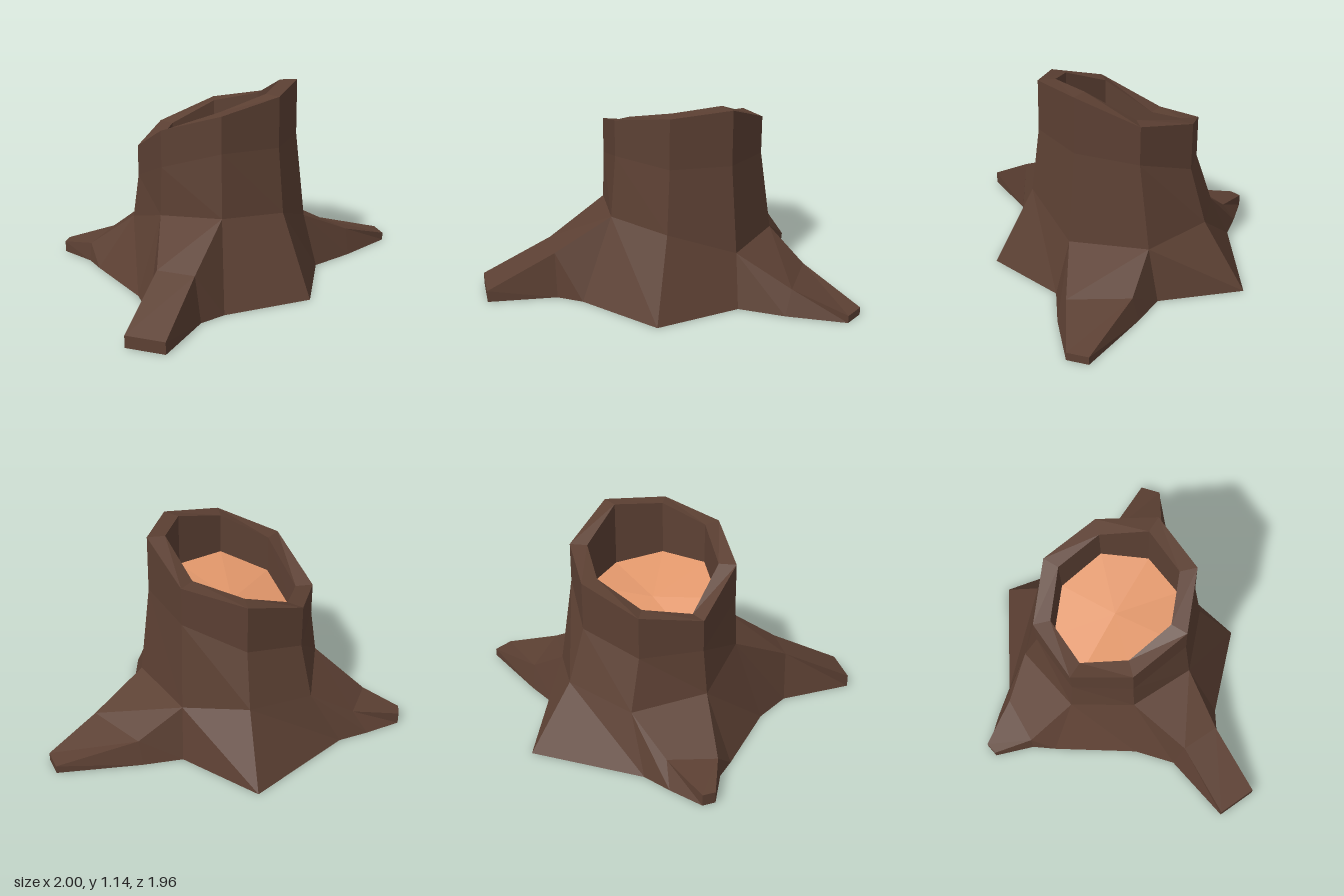
import * as THREE from 'three';

const brown = new THREE.MeshStandardMaterial({ color: 0x5c4033, flatShading: true });
brown.name = 'bark brown';
const orange = new THREE.MeshStandardMaterial({ color: 0xe0966a, flatShading: true });
orange.name = 'heartwood orange';

const CX = -0.07, CZ = -0.16;

// Octagonal ring around the trunk axis, one height per corner
const ring = (radius, heights) => heights.map((y, i) => {
  const a = (i * Math.PI) / 4;
  return [CX + radius * Math.cos(a), y, CZ + radius * Math.sin(a)];
});

// Quad with corners given anticlockwise as seen from outside
const quad = (a, b, c, d) => [a, b, c, a, c, d];

// Band between two closed rings, facing outward when lower comes first
function band(lower, upper, skip = []) {
  return lower.flatMap((p, i) => {
    const j = (i + 1) % lower.length;
    return skip.includes(i) ? [] : quad(p, upper[i], upper[j], lower[j]);
  });
}

function makeMesh(name, corners, material) {
  const geometry = new THREE.BufferGeometry();
  geometry.setAttribute('position', new THREE.Float32BufferAttribute(corners.flat(), 3));
  geometry.computeVertexNormals();
  const mesh = new THREE.Mesh(geometry, material);
  mesh.name = name;
  return mesh;
}

export function createModel() {
  const group = new THREE.Group();
  group.name = 'treeStump';

  // Trunk cross-sections, corners running from +x towards +z
  const rimHeights = [1.14, 1.12, 1.05, 0.94, 0.76, 0.82, 0.93, 1.0];
  const rim = ring(0.46, rimHeights);
  const middle = ring(0.46, [0.82, 0.83, 0.84, 0.73, 0.58, 0.58, 0.66, 0.78]);
  const waist = [
    [0.445, 0.31, -0.16], [0.28, 0.46, 0.2], [-0.07, 0.48, 0.335], [-0.405, 0.45, 0.17],
    [-0.565, 0.33, -0.16], [-0.44, 0.3, -0.57], [-0.07, 0.36, -0.72], [0.27, 0.3, -0.56],
  ];
  const base = [
    [0.52, 0, -0.12], [0.42, 0, 0.37], [-0.07, 0, 0.54], [-0.54, 0, 0.26],
    [-0.78, 0, -0.16], [-0.61, 0, -0.61], [-0.07, 0, -0.98], [0.28, 0, -0.63],
  ];

  // Roots: the side they grow from, then a middle and a tip section
  const roots = [
    { name: 'frontRoot', side: 2, sections: [
      [[-0.2, 0, 0.63], [-0.23, 0.27, 0.62], [-0.43, 0.27, 0.53], [-0.48, 0, 0.49]],
      [[-0.39, 0, 0.98], [-0.39, 0.07, 0.98], [-0.6, 0.07, 0.89], [-0.6, 0, 0.89]],
    ] },
    { name: 'rightRoot', side: 4, sections: [
      [[-0.84, 0, -0.28], [-0.83, 0.11, -0.29], [-0.7, 0.13, -0.53], [-0.78, 0, -0.57]],
      [[-1, 0, -0.44], [-1, 0.065, -0.44], [-0.98, 0.065, -0.51], [-0.98, 0, -0.51]],
    ] },
    { name: 'leftRoot', side: 7, sections: [
      [[0.5, 0, -0.64], [0.52, 0.14, -0.61], [0.73, 0.15, -0.33], [0.74, 0, -0.28]],
      [[0.97, 0, -0.63], [0.97, 0.045, -0.63], [1, 0.045, -0.51], [1, 0, -0.51]],
    ] },
  ];

  // Bark wall, with the flare left open where roots grow
  group.add(makeMesh('trunk', [
    ...band(middle, rim), ...band(waist, middle), ...band(base, waist, roots.map(r => r.side)),
  ], brown));

  for (const { name, side, sections } of roots) {
    const next = (side + 1) % 8;
    const all = [[base[side], waist[side], waist[next], base[next]], ...sections];
    const corners = [...quad(...all[2])];
    for (let s = 0; s < 2; s++) {
      for (let k = 0; k < 3; k++) {
        corners.push(...quad(all[s][k], all[s][k + 1], all[s + 1][k + 1], all[s + 1][k]));
      }
    }
    group.add(makeMesh(name, corners, brown));
  }

  // Rim and hollow
  const innerRim = ring(0.362, rimHeights);
  const floor = ring(0.36, [0.78, 0.82, 0.82, 0.73, 0.58, 0.58, 0.66, 0.75]);
  group.add(makeMesh('rim', band(rim, innerRim), brown));
  group.add(makeMesh('hollowWall', band(innerRim, floor), brown));

  // Cut wood at the bottom of the hollow
  const centre = [CX, 0.71, CZ];
  group.add(makeMesh('heartwood', floor.flatMap((p, i) => [p, centre, floor[(i + 1) % 8]]), orange));

  // Underside following the footprint of trunk and roots
  const footprint = base.flatMap((p, i) => {
    const root = roots.find(r => r.side === i);
    if (!root) return [p];
    const [mid, tip] = root.sections;
    return [p, mid[0], tip[0], tip[3], mid[3]];
  });
  const shape = new THREE.Shape(footprint.map(p => new THREE.Vector2(p[0], p[2])));
  const underside = new THREE.Mesh(new THREE.ShapeGeometry(shape).rotateX(Math.PI / 2), brown);
  underside.name = 'underside';
  group.add(underside);

  return group;
}
